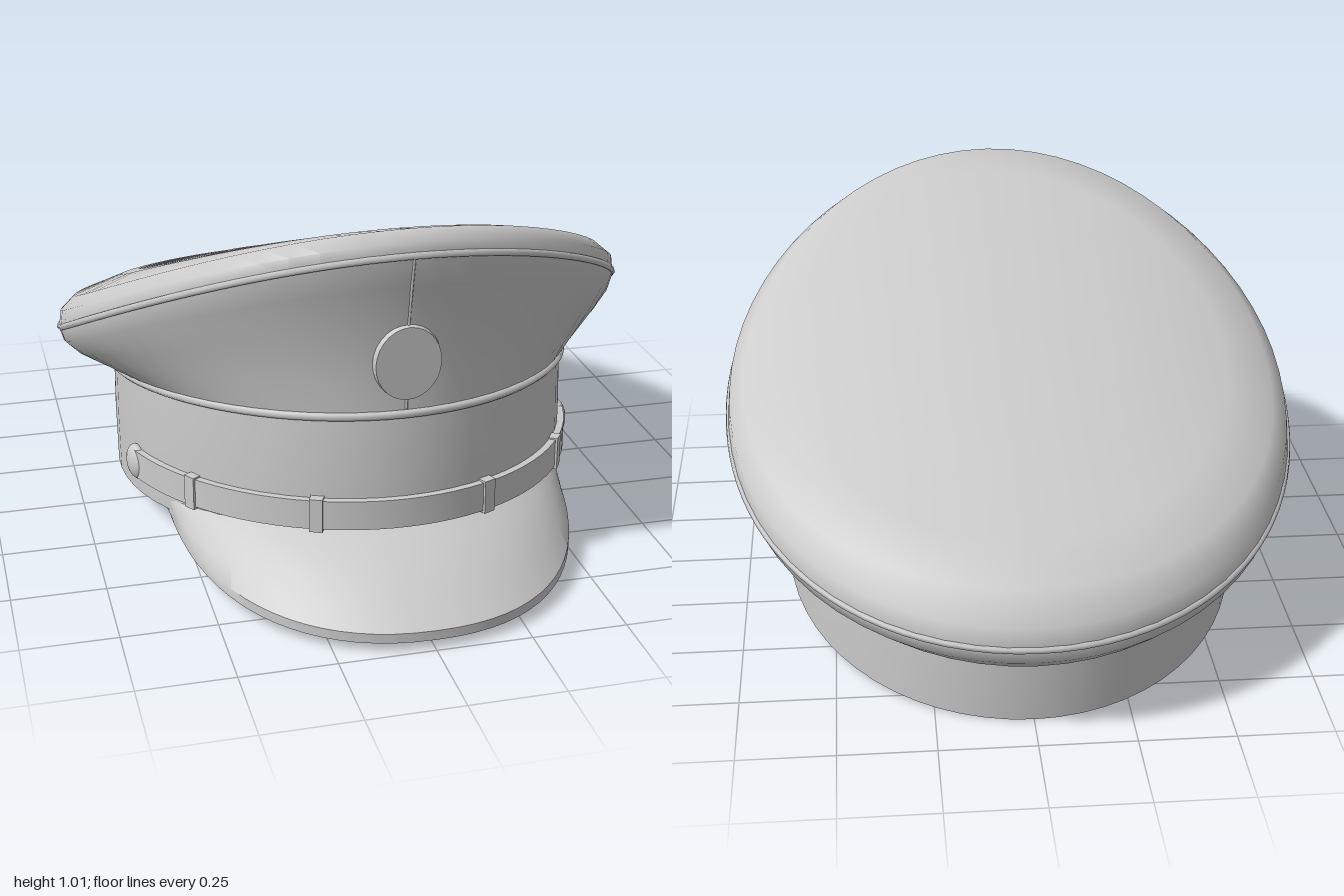
import * as THREE from 'three';
import { toCreasedNormals } from 'three/addons/utils/BufferGeometryUtils.js';

const material = new THREE.MeshStandardMaterial({ color: 0xcccccc, side: THREE.DoubleSide });
const SEG = 64;
const WIDEST = -0.06; // z at which every oval is widest

function part(name, geometry) {
  const mesh = new THREE.Mesh(geometry, material);
  mesh.name = name;
  return mesh;
}

// Skin over rows of points; columns run towards +x at the front.
function skin(rows, crease = 0.7) {
  const cols = rows[0].length, index = [];
  for (let r = 0; r < rows.length - 1; r++) {
    for (let c = 0; c < cols - 1; c++) {
      const a = r * cols + c, d = a + cols;
      index.push(a, a + 1, d, a + 1, d + 1, d);
    }
  }
  const g = new THREE.BufferGeometry().setFromPoints(rows.flat());
  g.setIndex(index);
  return toCreasedNormals(g, crease);
}

// Point on a tilted egg: half width, front z, back z, then heights at front, side, back.
function ovalPoint([rx, zf, zb, yf, ys, yb], t) {
  const c = Math.cos(t);
  const y = ys + (yf - yb) / 2 * c + ((yf + yb) / 2 - ys) * c * c;
  const depth = c > 0 ? zf - WIDEST : WIDEST - zb;
  return new THREE.Vector3(rx * Math.sin(t), y, WIDEST + depth * c);
}

function sweep(fn, from = -Math.PI, to = Math.PI, n = SEG) {
  return Array.from({ length: n + 1 }, (_, i) => fn(from + (to - from) * i / n));
}

const oval = (o) => sweep((t) => ovalPoint(o, t));

function piping(name, o, radius) {
  const path = new THREE.CatmullRomCurve3(oval(o).slice(0, -1), true);
  return part(name, new THREE.TubeGeometry(path, 96, radius, 6, true));
}

// Outer face of the head band
const BAND = [0.632, 0.718, -0.89, 0, 0, 0];
const bandAngle = (t) => Math.atan2(Math.sin(t) / 0.632, Math.cos(t) / 0.778);

function onBand(t, offset, y) {
  const p = ovalPoint(BAND, t), a = bandAngle(t);
  return p.set(p.x + offset * Math.sin(a), y, p.z + offset * Math.cos(a));
}

const STRAP_END = 1.29;
const strapY = (t) => 0.265 - 0.055 * (t / STRAP_END) ** 2;

function createVisor() {
  const thick = 0.026;
  const inner = (a, drop) => {
    const t = a * 0.78;
    return onBand(t, -0.01, 0.22 - 0.055 * (t / 1.22) ** 2 - drop);
  };
  const outer = (a, drop) => {
    const c = Math.max(0, Math.cos(a)) ** 0.9, s = Math.sin(a);
    return new THREE.Vector3(0.55 * Math.sign(s) * Math.abs(s) ** 0.9,
      0.068 + 0.09 * (1 - c) ** 2 - drop, 0.2 + 0.79 * c);
  };
  const row = (k, drop) => sweep((a) => {
    const p = inner(a, drop).lerp(outer(a, drop), k);
    p.y += 0.07 * k * (1 - k) * Math.cos(a);
    return p;
  }, -Math.PI / 2, Math.PI / 2, 40);
  const stops = [0, 0.25, 0.5, 0.75, 1];
  return part('visor', skin([
    ...stops.map((k) => row(k, thick)),
    ...stops.reverse().map((k) => row(k, 0)),
  ]));
}

function createStrap() {
  const group = new THREE.Group();
  group.name = 'chinStrap';
  const h = 0.04;
  const edge = (off, dy) => sweep((t) => onBand(t, off, strapY(t) + dy), -STRAP_END, STRAP_END, 40);
  group.add(part('strapBelt', skin([edge(-0.005, -h), edge(0.018, -h), edge(0.018, h), edge(-0.005, h)])));

  // Keeper loops and end buttons, aligned to the band
  const facing = (mesh, t, offset) => {
    mesh.position.copy(onBand(t, offset, strapY(t)));
    mesh.rotation.y = bandAngle(t);
    group.add(mesh);
  };
  for (const s of [-1, 1]) {
    for (const t of [0.36, 0.9]) facing(part('strapKeeper', new THREE.BoxGeometry(0.035, 0.092, 0.028)), s * t, 0.01);
    const button = new THREE.SphereGeometry(0.05, 16, 10);
    button.scale(1, 1, 0.5);
    facing(part('strapButton', button), s * STRAP_END, 0.006);
  }
  return group;
}

export function createModel() {
  const model = new THREE.Group();
  model.name = 'peakedCap';

  // Head band with inner face, open underneath
  const liningEdge = [0.612, 0.68, -0.868, 0.50, 0.39, 0.19];
  const bandTop = [0.63, 0.70, -0.89, 0.525, 0.41, 0.205];
  model.add(part('headBand', skin([
    liningEdge,
    [0.612, 0.695, -0.868, 0.195, 0.095, 0.025],
    [0.63, 0.715, -0.885, 0.19, 0.088, 0.018],
    [0.632, 0.718, -0.89, 0.35, 0.25, 0.11],
    bandTop,
  ].map(oval))));

  // Flat lining closing the inside at the top of the band
  model.add(part('lining', skin([[0, WIDEST, WIDEST, 0.375, 0.375, 0.375], liningEdge].map(oval))));

  // Flaring crown sides, narrow rolled rim and a top that ridges gently along the middle
  model.add(part('crown', skin([
    bandTop,
    [0.675, 0.70, -0.925, 0.63, 0.425, 0.212],
    [0.73, 0.71, -0.96, 0.76, 0.455, 0.225],
    [0.77, 0.735, -0.985, 0.88, 0.495, 0.25],
    [0.782, 0.755, -0.995, 0.96, 0.535, 0.287],
    [0.775, 0.755, -0.98, 1.0, 0.588, 0.345],
    [0.735, 0.72, -0.915, 1.024, 0.628, 0.418],
    [0.60, 0.60, -0.78, 0.985, 0.68, 0.472],
    [0.30, 0.27, -0.42, 0.863, 0.725, 0.607],
    [0, WIDEST, WIDEST, 0.742, 0.742, 0.742],
  ].map(oval), 1)));

  model.add(piping('rimPiping', [0.778, 0.752, -0.99, 0.965, 0.54, 0.29], 0.01));
  model.add(piping('bandPiping', [0.633, 0.703, -0.891, 0.527, 0.411, 0.207], 0.011));

  model.add(createVisor(), createStrap());

  // Front seam following the crown
  const seam = new THREE.CatmullRomCurve3([[0.54, 0.70], [0.63, 0.70], [0.76, 0.71], [0.88, 0.735], [0.96, 0.754]]
    .map(([y, z]) => new THREE.Vector3(0, y, z)));
  model.add(part('frontSeam', new THREE.TubeGeometry(seam, 16, 0.004, 6)));

  // Plain flat oval badge
  const disc = new THREE.CylinderGeometry(0.085, 0.09, 0.035, 28);
  disc.rotateX(Math.PI / 2);
  disc.scale(1, 1.17, 1);
  const badge = part('badge', disc);
  badge.position.set(0, 0.67, 0.701);
  badge.rotation.x = 0.06;
  model.add(badge);

  return model;
}
